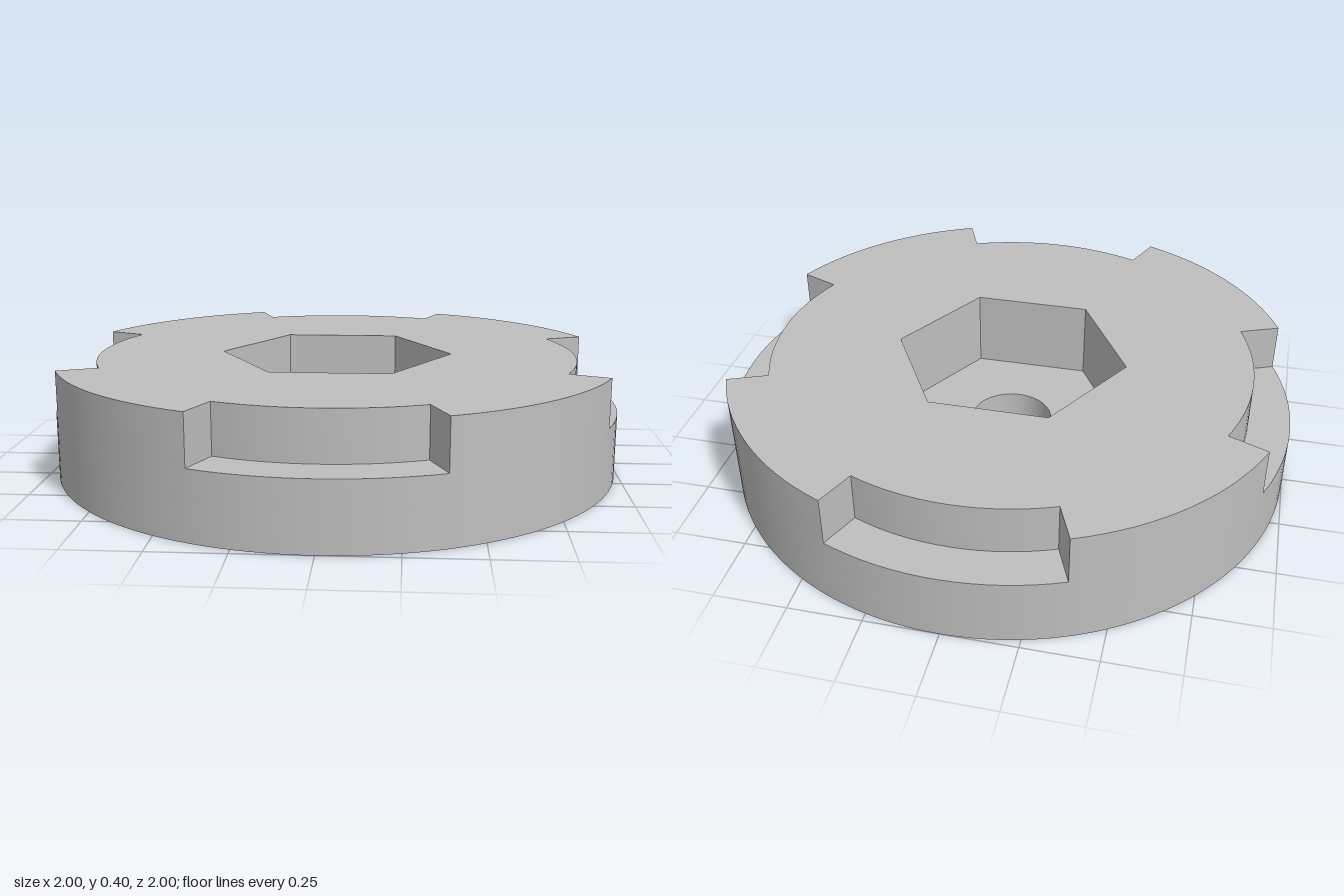
import * as THREE from 'three';
import { mergeGeometries, toCreasedNormals } from 'three/addons/utils/BufferGeometryUtils.js';

const OUTER = 1, INNER = 0.855, BORE = 0.145, HEX = 0.413;
const FLOOR = 0.12, LEDGE = 0.23, TOP = 0.4;
const STEP = Math.PI / 64;

// Points on an arc, counted in steps of the shared angular grid (128 per turn)
function arc(r, from, to) {
  const pts = [];
  const dir = Math.sign(to - from);
  for (let i = from; i !== to + dir; i += dir) {
    pts.push(new THREE.Vector2(r * Math.cos(i * STEP), r * Math.sin(i * STEP)));
  }
  return pts;
}

const circle = (r) => arc(r, 0, 127);

function hexagon() {
  return Array.from({ length: 6 }, (_, i) =>
    new THREE.Vector2(HEX * Math.cos(i * Math.PI / 3), HEX * Math.sin(i * Math.PI / 3)));
}

// Outline with four lugs on the diagonals and four notches on the axes
function notchedOutline() {
  const pts = [];
  for (let k = 0; k < 4; k++) {
    pts.push(...arc(OUTER, 8 + 32 * k, 24 + 32 * k), ...arc(INNER, 24 + 32 * k, 40 + 32 * k));
  }
  return pts;
}

function plate(outline, hole) {
  const shape = new THREE.Shape(outline);
  if (hole) shape.holes.push(new THREE.Path(hole));
  return shape;
}

// Upright walls of a shape, without its lids
function walls(shape, y0, y1) {
  const solid = new THREE.ExtrudeGeometry(shape, { depth: y1 - y0, bevelEnabled: false });
  const { start, count } = solid.groups[1];
  const geo = new THREE.BufferGeometry();
  const pos = solid.attributes.position.array.slice(start * 3, (start + count) * 3);
  geo.setAttribute('position', new THREE.BufferAttribute(pos, 3));
  return geo.rotateX(-Math.PI / 2).translate(0, y0, 0);
}

// Flat face at height y, facing up or down
function face(shape, y, up = true) {
  const geo = new THREE.ShapeGeometry(shape).toNonIndexed();
  geo.deleteAttribute('uv');
  geo.deleteAttribute('normal');
  return geo.rotateX(up ? -Math.PI / 2 : Math.PI / 2).translate(0, y, 0);
}

export function createModel() {
  const group = new THREE.Group();
  const grey = new THREE.MeshStandardMaterial({ color: 0xbfbfbf });
  grey.name = 'grey';

  const add = (name, parts) => {
    const mesh = new THREE.Mesh(toCreasedNormals(mergeGeometries(parts), 0.5), grey);
    mesh.name = name;
    group.add(mesh);
  };

  // Base disc with the through bore and the floor of the hex pocket
  const base = plate(circle(OUTER), circle(BORE));
  add('baseDisc', [
    walls(base, 0, FLOOR),
    face(base, 0, false),
    face(plate(hexagon(), circle(BORE)), FLOOR),
  ]);

  // Middle ring around the pocket, with a ledge in each notch
  const ledges = [0, 1, 2, 3].map((k) =>
    face(plate([...arc(OUTER, 32 * k - 8, 32 * k + 8), ...arc(INNER, 32 * k + 8, 32 * k - 8)]), LEDGE));
  add('middleRing', [walls(plate(circle(OUTER), hexagon()), FLOOR, LEDGE), ...ledges]);

  // Notched crown
  const crown = plate(notchedOutline(), hexagon());
  add('notchedCrown', [walls(crown, LEDGE, TOP), face(crown, TOP)]);

  return group;
}
